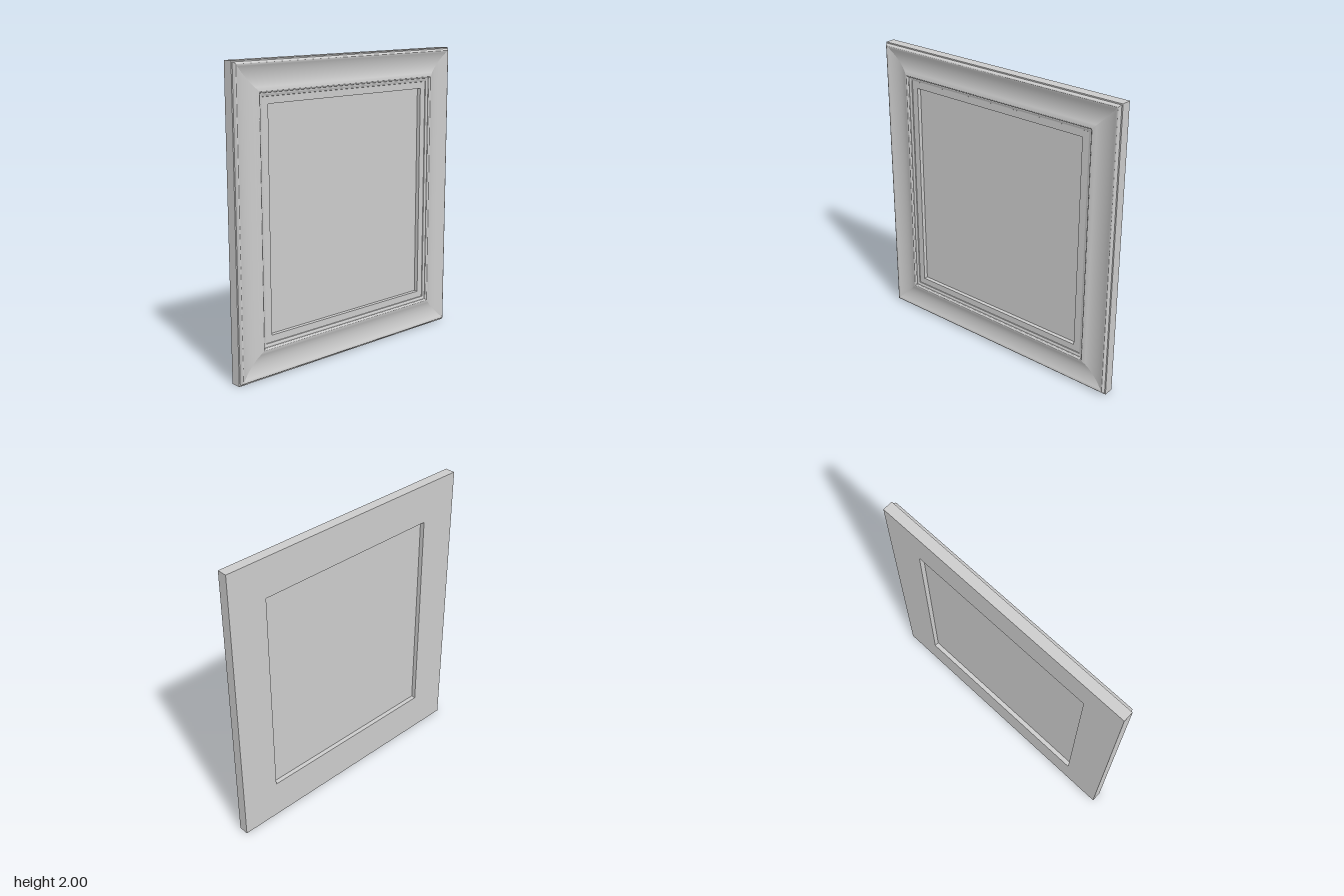
import * as THREE from 'three';
import { toCreasedNormals } from 'three/addons/utils/BufferGeometryUtils.js';

const HALF_W = 0.94, HALF_H = 1, MID_Y = 1;
const OPENING = 0.27; // width of the moulding
const BACK = -0.045;

// Moulding cross-section: x = distance in from the outer edge, y = depth (z)
function mouldingProfile() {
  const p = new THREE.Path();
  p.moveTo(0, BACK);
  p.lineTo(0, 0.024);
  p.lineTo(0.008, 0.024); // outer ledge
  p.quadraticCurveTo(0.009, 0.031, 0.013, 0.036);
  p.quadraticCurveTo(0.014, 0.045, 0.022, 0.044); // outer ridge
  p.bezierCurveTo(0.06, 0.022, 0.13, 0.01, 0.18, 0.037); // wide cove
  p.quadraticCurveTo(0.196, 0.043, 0.201, 0.03); // inner bead
  p.lineTo(0.201, 0.025);
  p.quadraticCurveTo(0.208, 0.026, 0.215, 0.022);
  p.lineTo(0.223, 0.022);
  p.lineTo(0.225, 0.018); // shallow inner step
  p.lineTo(OPENING, 0.018);
  p.lineTo(OPENING, BACK);
  p.lineTo(0, BACK);
  return p.getPoints(10);
}

// One rail: the profile swept between two mitred corners
function railGeometry(profile, a, b) {
  const at = ([sx, sy], q) => [sx * (HALF_W - q.x), sy * (HALF_H - q.x), q.y];
  const pos = [];
  for (let j = 0; j < profile.length - 1; j++) {
    const p = profile[j], q = profile[j + 1];
    if (p.distanceTo(q) < 1e-6) continue;
    const A = at(a, p), B = at(b, p), C = at(b, q), D = at(a, q);
    pos.push(...A, ...B, ...C, ...A, ...C, ...D);
  }
  const g = new THREE.BufferGeometry();
  g.setAttribute('position', new THREE.Float32BufferAttribute(pos, 3));
  return toCreasedNormals(g, 0.6);
}

export function createModel() {
  const model = new THREE.Group();
  model.name = 'pictureFrame';
  const material = new THREE.MeshStandardMaterial({ color: 0xcccccc });

  // Four mitred rails, counter-clockwise from the bottom
  const frame = new THREE.Group();
  frame.name = 'frame';
  frame.position.y = MID_Y;
  const profile = mouldingProfile();
  const corners = [[-1, -1], [1, -1], [1, 1], [-1, 1]];
  ['bottomRail', 'leftRail', 'topRail', 'rightRail'].forEach((name, i) => {
    const rail = new THREE.Mesh(railGeometry(profile, corners[i], corners[(i + 1) % 4]), material);
    rail.name = name;
    frame.add(rail);
  });
  model.add(frame);

  // Thin picture panel set inside the opening
  const panel = new THREE.Mesh(
    new THREE.BoxGeometry(2 * (HALF_W - OPENING), 2 * (HALF_H - OPENING), 0.004), material);
  panel.name = 'panel';
  panel.position.set(0, MID_Y, -0.012);
  model.add(panel);

  return model;
}
